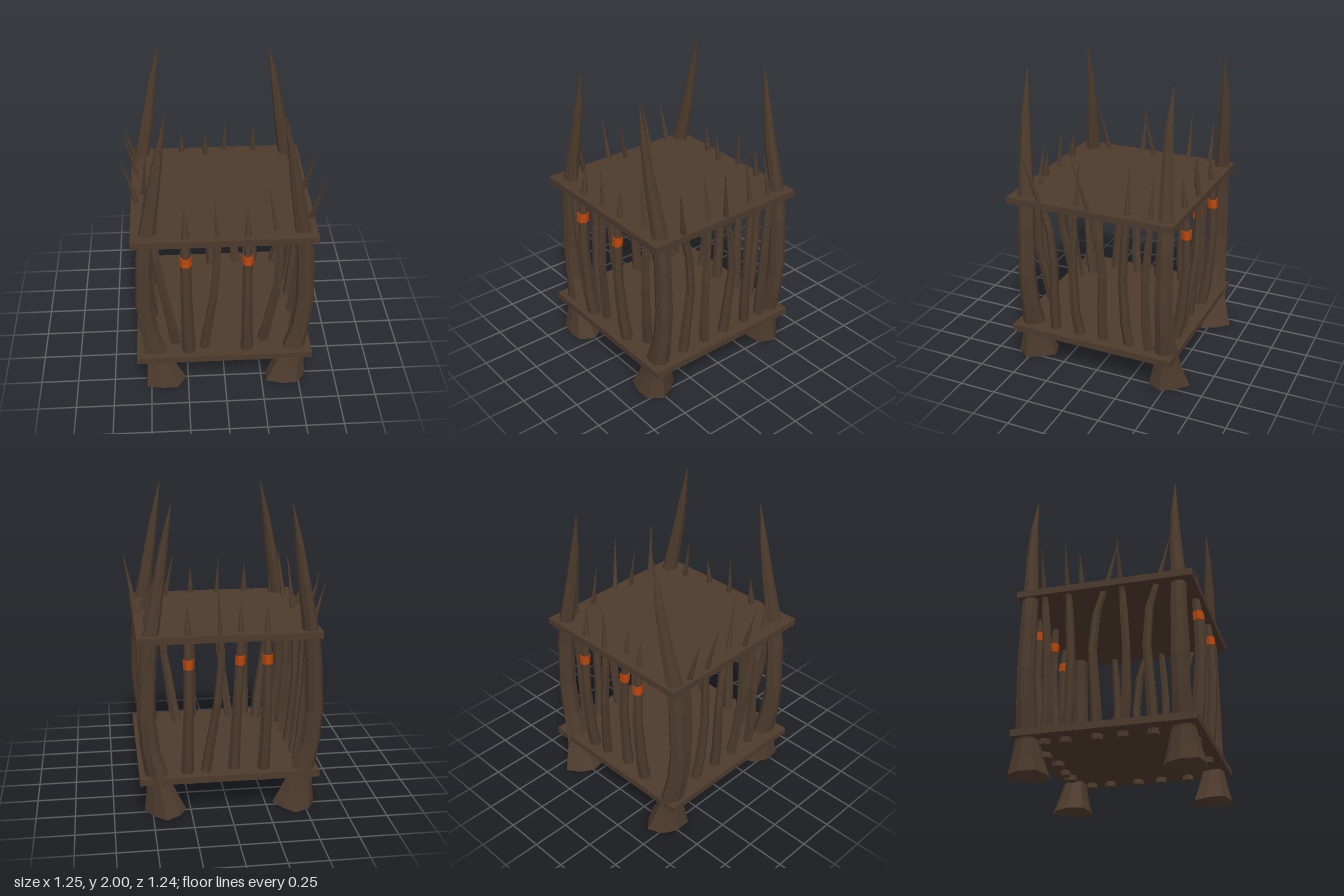
import * as THREE from 'three';

const wood = new THREE.MeshStandardMaterial({ color: 0x4d3b2d });
wood.name = 'dark wood';
const orange = new THREE.MeshStandardMaterial({ color: 0xb8450c });
orange.name = 'orange binding';

// Flat-shaded sweep through horizontal rings [x, y, z, radius, jag]
function sweep(rings, sides, turn = 0) {
  const pos = [], idx = [];
  rings.forEach(([x, y, z, r, jag = 0]) => {
    for (let j = 0; j < sides; j++) {
      const a = turn + (j / sides) * Math.PI * 2;
      const rr = r * (1 + jag * Math.sin(j * 2.4 + turn * 3));
      pos.push(x + Math.cos(a) * rr, y, z + Math.sin(a) * rr);
    }
  });
  for (let i = 0; i < rings.length - 1; i++) {
    for (let j = 0; j < sides; j++) {
      const a = i * sides + j, b = i * sides + (j + 1) % sides;
      idx.push(b, a, a + sides, b, a + sides, b + sides);
    }
  }
  // End caps
  const last = (rings.length - 1) * sides;
  for (let j = 1; j < sides - 1; j++) {
    idx.push(0, j, j + 1, last, last + j + 1, last + j);
  }
  const g = new THREE.BufferGeometry();
  g.setAttribute('position', new THREE.Float32BufferAttribute(pos, 3));
  g.setIndex(idx);
  const flat = g.toNonIndexed();
  flat.computeVertexNormals();
  return flat;
}

// Linear lookup in a list of [y, value]
function at(list, y) {
  if (y <= list[0][0]) return list[0][1];
  for (let i = 1; i < list.length; i++) {
    const [y0, v0] = list[i - 1], [y1, v1] = list[i];
    if (y <= y1) return v0 + (v1 - v0) * (y - y0) / (y1 - y0);
  }
  return list[list.length - 1][1];
}

export function createModel() {
  const model = new THREE.Group();
  const add = (name, geometry, material = wood) => {
    const m = new THREE.Mesh(geometry, material);
    m.name = name;
    model.add(m);
    return m;
  };

  // Floor and roof plates
  for (const [name, y] of [['floorPlate', 0.236], ['roofPlate', 1.177]]) {
    add(name, new THREE.BoxGeometry(1.17, 0.044, 1.15)).position.set(-0.005, y, 0.015);
  }

  // Corner posts: hollow flared root, bowed trunk and horn-like tip
  const postX = [[0.06, 0.41], [0, 0.41], [0.1, 0.43], [0.2, 0.45], [0.43, 0.505], [0.65, 0.527],
    [1.0, 0.513], [1.2, 0.488], [1.5, 0.435], [1.75, 0.395], [2, 0.35]];
  const postR = [0.06, 0.135, 0.105, 0.08, 0.062, 0.058, 0.055, 0.052, 0.04, 0.026, 0.003];
  const posts = [
    ['frontLeftPost', 1, 0, 0.487, 0.52, 0.52, 0.2],
    ['frontRightPost', -1, 0, 0.487, 0.45, 0.45, 0.9],
    ['backLeftPost', 1, 0, -0.485, -0.45, -0.46, 1.6],
    ['backRightPost', -1, -0.033, -0.485, -0.525, -0.52, 2.5],
  ];
  for (const [name, side, shift, zRoot, zHorn, zTip, turn] of posts) {
    const zs = [[1.15, zRoot], [1.65, zHorn], [2, zTip]];
    const rings = postX.map(([y, x], i) =>
      [side * x + shift, y, at(zs, y), postR[i], i < 4 ? 0.14 : 0.05]);
    add(name, sweep(rings, 8, turn));
  }

  // Thorn bars: thick foot, rings follow x(y) and z(y), tapering to a point
  function bar(name, xs, zs, top, r, turn, bandY = 0) {
    const shape = [[0.18, 1.4], [0.42, 1.25], [0.75, 1.05], [1.0, 1], [1.12, 0.82], [1.24, 0.6], [top, 0.06]];
    const ring = (y, k = 1) => [at(xs, y), y, at(zs, y), r * at(shape, y) * k];
    add(name, sweep(shape.map(([y]) => ring(y)), 6, turn));
    if (bandY) {
      add(name + 'Binding', sweep([ring(bandY, 1.1), ring(bandY + 0.06, 1.2)], 6, turn), orange);
    }
  }

  // Side bars: the same five profiles stand on both sides
  const sideZ = [
    [[[0.2, 0.305], [0.42, 0.3], [0.78, 0.28], [1.0, 0.3], [1.12, 0.335], [1.34, 0.4], [1.52, 0.435]], 1.52, true],
    [[[0.2, -0.045], [0.42, -0.05], [0.78, -0.07], [1.0, -0.045], [1.12, -0.01], [1.34, 0.055], [1.54, 0.09]], 1.54, true],
    [[[0.2, 0.115], [0.42, 0.145], [0.78, 0.152], [1.12, 0.13], [1.34, 0.115], [1.49, 0.12]], 1.49, false],
    [[[0.2, -0.245], [0.42, -0.215], [0.78, -0.205], [1.12, -0.225], [1.34, -0.235], [1.5, -0.225]], 1.5, false],
    [[[0.2, -0.38], [0.42, -0.36], [0.78, -0.36], [1.12, -0.385], [1.34, -0.39], [1.47, -0.385]], 1.47, false],
  ];
  for (const side of [1, -1]) {
    sideZ.forEach(([zs, top, leansLeft], i) => {
      const x0 = side > 0 ? 0.53 : -0.52;
      const lean = leansLeft ? (side > 0 ? 0.09 : 0.04) : (side > 0 ? -0.07 : -0.11);
      const xs = [[0.18, x0 - side * 0.05], [0.6, x0], [1.12, x0 + lean * 0.12], [top, x0 + lean]];
      bar((side > 0 ? 'leftBar' : 'rightBar') + (i + 1), xs, zs, top, 0.027, i * 0.4);
    });
  }

  // Curved paths for front and back bars
  const straight = (x) => [[0.2, x + 0.01], [0.65, x], [1.4, x]];
  const frontZ = [[0.2, 0.5], [0.45, 0.54], [0.7, 0.562], [1.03, 0.558], [1.4, 0.515]];
  const frontCurveZ = [[0.2, 0.41], [0.5, 0.47], [0.8, 0.5], [1.1, 0.49], [1.48, 0.465]];
  const midZ = [[0.2, 0.47], [0.7, 0.54], [1.1, 0.54], [1.46, 0.52]];
  const backZ = [[0.2, -0.46], [0.45, -0.51], [0.7, -0.535], [1.03, -0.53], [1.4, -0.495]];
  const backInnerZ = [[0.2, -0.44], [0.65, -0.49], [1.1, -0.48], [1.4, -0.45]];

  // Front bars
  bar('frontBar1', [[0.2, -0.32], [0.55, -0.365], [0.78, -0.405], [1.0, -0.435], [1.15, -0.445], [1.47, -0.415]],
    frontCurveZ, 1.47, 0.028, 0.3);
  bar('frontBar2', straight(-0.25), frontZ, 1.39, 0.035, 0, 1.0);
  bar('frontBar3', [[0.2, -0.145], [0.45, -0.11], [0.8, -0.065], [1.1, -0.045], [1.46, -0.065]],
    midZ, 1.46, 0.025, 0.5);
  bar('frontBar4', straight(0.14), frontZ, 1.38, 0.031, 0, 1.0);
  bar('frontBar5', [[0.2, 0.25], [0.42, 0.29], [0.78, 0.345], [1.0, 0.35], [1.12, 0.34], [1.49, 0.27]],
    frontCurveZ, 1.49, 0.028, 0.7);

  // Back bars
  bar('backBar1', straight(-0.24), backZ, 1.37, 0.031, 0, 1.0);
  bar('backBar2', [[0.2, -0.04], [0.65, -0.05], [1.03, -0.075], [1.38, -0.08]], backInnerZ, 1.38, 0.029, 0, 0.985);
  bar('backBar3', [[0.2, 0.155], [0.45, 0.12], [0.8, 0.07], [1.05, 0.05], [1.46, 0.07]],
    [[0.2, -0.46], [0.7, -0.535], [1.1, -0.535], [1.46, -0.52]], 1.46, 0.026, 0.4);
  bar('backBar4', straight(0.26), backZ, 1.39, 0.031, 0, 0.985);

  return model;
}
